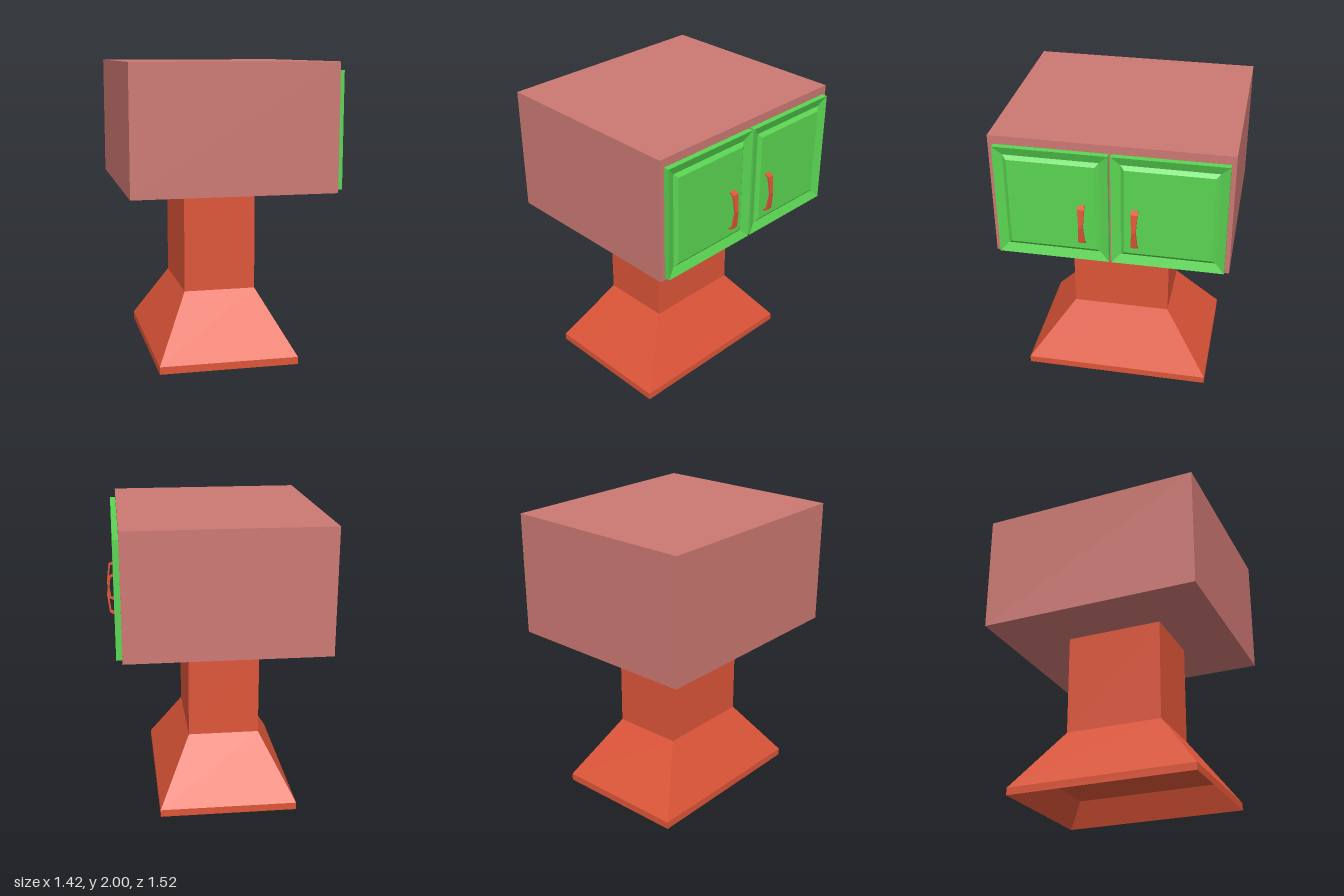
import * as THREE from 'three';

const material = (color) => new THREE.MeshStandardMaterial({ color, flatShading: true });

// Joins four-cornered rings into a closed, hard-edged solid with both ends capped.
function loft(rings) {
  const pos = [];
  const quad = (a, b, c, d) => [a, b, c, a, c, d].forEach((p) => pos.push(...p));
  for (let k = 0; k < rings.length - 1; k++) {
    for (let i = 0; i < 4; i++) {
      const j = (i + 1) % 4;
      quad(rings[k][i], rings[k][j], rings[k + 1][j], rings[k + 1][i]);
    }
  }
  const first = rings[0];
  quad(first[3], first[2], first[1], first[0]);
  quad(...rings[rings.length - 1]);
  const geometry = new THREE.BufferGeometry();
  geometry.setAttribute('position', new THREE.Float32BufferAttribute(pos, 3));
  geometry.computeVertexNormals();
  return geometry;
}

// Horizontal rectangle at height y, given half sizes.
const rect = (y, hx, hz) => [[hx, y, hz], [hx, y, -hz], [-hx, y, -hz], [-hx, y, hz]];

function part(name, geometry, mat) {
  const mesh = new THREE.Mesh(geometry, mat);
  mesh.name = name;
  return mesh;
}

// Bowed pull: flat bar with a narrow waist, following a path in the xy plane.
function handleGeometry() {
  const path = [
    [0.66, 1.315, 0.022], [0.688, 1.328, 0.022], [0.703, 1.448, 0.014],
    [0.688, 1.567, 0.022], [0.66, 1.58, 0.022],
  ];
  const t = 0.006;
  return loft(path.map(([x, y, w], i) => {
    const a = path[Math.max(i - 1, 0)];
    const b = path[Math.min(i + 1, path.length - 1)];
    const len = Math.hypot(b[0] - a[0], b[1] - a[1]);
    const nx = ((b[1] - a[1]) / len) * t;
    const ny = (-(b[0] - a[0]) / len) * t;
    return [
      [x + nx, y + ny, w], [x + nx, y + ny, -w],
      [x - nx, y - ny, -w], [x - nx, y - ny, w],
    ];
  }));
}

export function createModel() {
  const group = new THREE.Group();
  const cabinetMat = material(0xcc7872);
  const hoodMat = material(0xdd5538);
  const doorMat = material(0x5ad552);

  // Cabinet box
  const cabinet = part('cabinet', new THREE.BoxGeometry(1.342, 0.837, 1.52), cabinetMat);
  cabinet.position.set(-0.044, 1.5815, 0);
  group.add(cabinet);

  // Hood: recessed underside, rim, sloped canopy and straight duct
  const hood = part('hoodAndDuct', loft([
    rect(0.18, 0.385, 0.538),
    rect(0, 0.466, 0.648),
    rect(0.05, 0.466, 0.648),
    rect(0.46, 0.243, 0.339),
    rect(1.17, 0.243, 0.339),
  ]), hoodMat);
  hood.position.set(-0.063, 0, 0.021);
  group.add(hood);

  // Doors: dished frame around a raised panel, turned to face +x
  const hy = 0.382;
  const hz = 0.36;
  const doorGeometry = loft([
    rect(0.62, hy, hz),
    rect(0.665, hy, hz),
    rect(0.642, hy - 0.06, hz - 0.058),
    rect(0.662, hy - 0.085, hz - 0.083),
  ]);
  doorGeometry.rotateZ(-Math.PI / 2);
  const pull = handleGeometry();
  for (const [side, doorZ, pullZ] of [['front', 0.366, 0.175], ['back', -0.37, -0.16]]) {
    const door = part(side + 'Door', doorGeometry, doorMat);
    door.position.set(0, 1.562, doorZ);
    const handle = part(side + 'Handle', pull, hoodMat);
    handle.position.z = pullZ;
    group.add(door, handle);
  }
  return group;
}
